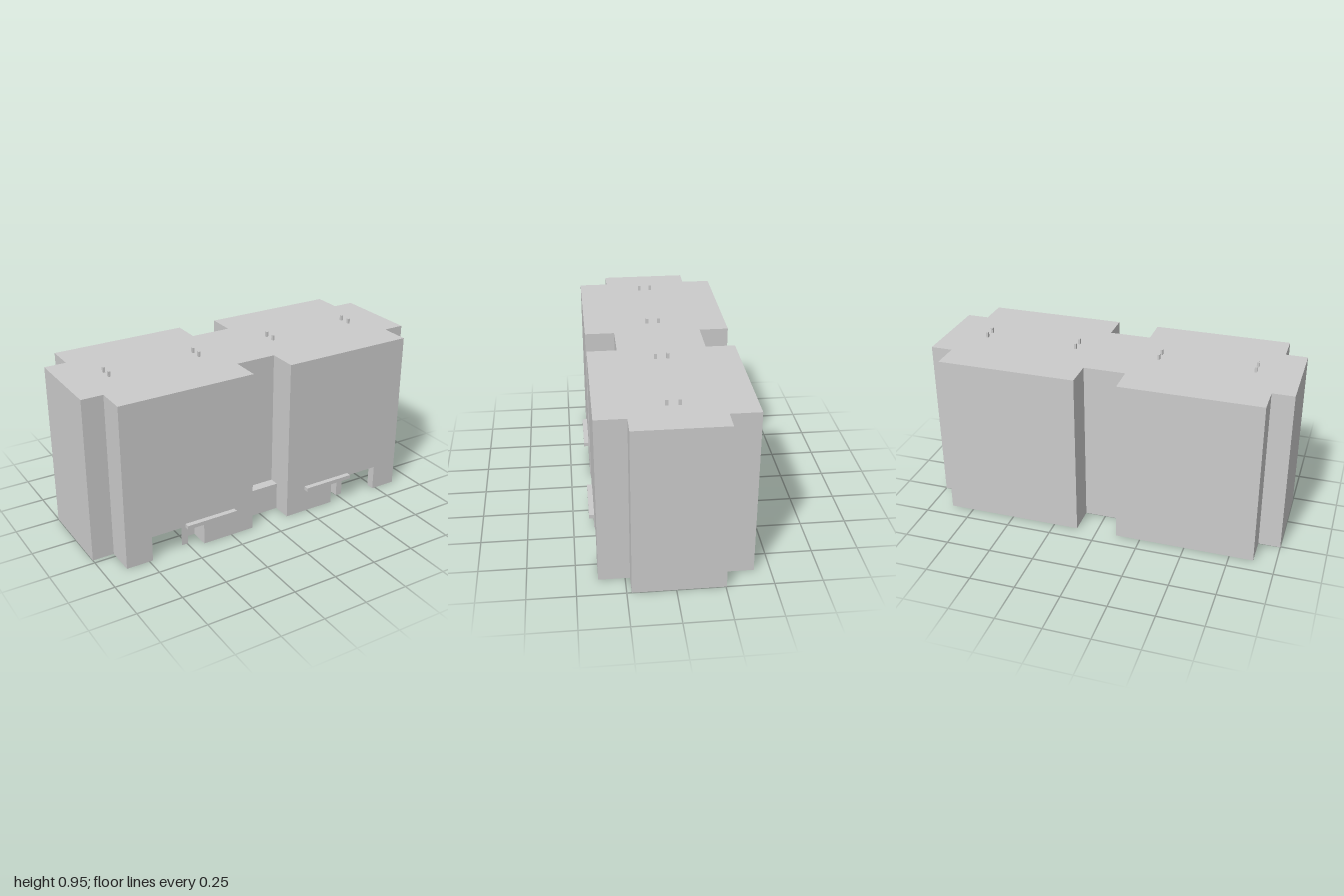
import * as THREE from 'three';

const H = 0.924;      // roof height
const FRONT = 0.387;  // main facade
const DOOR_H = 0.143; // height of the ground floor openings

const material = new THREE.MeshStandardMaterial({ color: 0xcccccc, flatShading: true, side: THREE.DoubleSide });

function add(parent, name, geometry) {
  const mesh = new THREE.Mesh(geometry, material);
  mesh.name = name;
  parent.add(mesh);
  return mesh;
}

// Four-cornered panel, corners counter-clockwise seen from outside
function panel(parent, name, a, b, c, d) {
  const g = new THREE.BufferGeometry();
  g.setAttribute('position', new THREE.Float32BufferAttribute([a, b, c, d].flat(), 3));
  g.setIndex([0, 1, 2, 0, 2, 3]);
  g.computeVertexNormals();
  return add(parent, name, g);
}

// Upright wall from plan point p to q, facing right of the walking direction
function wall(parent, name, [x0, z0], [x1, z1], y0 = 0, y1 = H) {
  return panel(parent, name, [x0, y0, z0], [x1, y0, z1], [x1, y1, z1], [x0, y1, z0]);
}

function ceiling(parent, name, x0, x1, z0, z1, y) {
  return panel(parent, name, [x0, y, z0], [x1, y, z0], [x1, y, z1], [x0, y, z1]);
}

// Plan of one half: front notch, facade, side bay, back, rear notch
const plan = [
  [0.115, 0.225], [0.115, FRONT], [0.88, FRONT], [0.88, 0.225], [1, 0.225],
  [1, -0.255], [0.88, -0.255], [0.88, -0.415], [0.115, -0.415], [0.115, -0.255],
];

function createHalf(s) {
  const half = new THREE.Group();
  half.name = s > 0 ? 'leftHalf' : 'rightHalf';
  const m = ([x, z]) => [x * s, z];
  const sideWall = (name, p, q, y0, y1) =>
    s > 0 ? wall(half, name, m(p), m(q), y0, y1) : wall(half, name, m(q), m(p), y0, y1);

  // Outer walls
  for (let i = 0; i < plan.length - 1; i++) {
    if (i !== 1) sideWall('outerWall', plan[i], plan[i + 1]);
  }

  // Facade with the entrance cut out of its lower edge
  const outline = [[0.115, 0], [0.42, 0], [0.42, DOOR_H], [0.73, DOOR_H], [0.73, 0], [0.88, 0], [0.88, H], [0.115, H]];
  const facade = new THREE.Shape(outline.map(([x, y]) => new THREE.Vector2(x * s, y)));
  add(half, 'facade', new THREE.ShapeGeometry(facade)).position.z = FRONT;

  // Entrance: jambs, post and set-back door
  sideWall('doorJamb', [0.42, FRONT], [0.42, 0.275], 0, DOOR_H);
  sideWall('door', [0.42, 0.275], [0.495, 0.275], 0, DOOR_H);
  sideWall('postSide', [0.495, 0.275], [0.495, 0.34], 0, DOOR_H);
  sideWall('postFront', [0.495, 0.34], [0.533, 0.34], 0, DOOR_H);
  sideWall('passageJamb', [0.73, 0.34], [0.73, FRONT], 0, DOOR_H);
  const [a, b] = s > 0 ? [0.42, 0.533] : [-0.533, -0.42];
  ceiling(half, 'entranceCeiling', a, b, 0.34, FRONT, DOOR_H);
  const [c, d] = s > 0 ? [0.42, 0.495] : [-0.495, -0.42];
  ceiling(half, 'doorCeiling', c, d, 0.275, 0.34, DOOR_H);

  // Canopy over the entrance
  add(half, 'canopy', new THREE.BoxGeometry(0.3, 0.022, 0.028)).position.set(0.382 * s, 0.149, FRONT + 0.014);

  // Pairs of roof vents
  for (const x of [0.237, 0.762]) {
    for (const z of [0.029, -0.036]) {
      add(half, 'roofVent', new THREE.BoxGeometry(0.012, 0.03, 0.016)).position.set(x * s, H + 0.014, z);
    }
  }
  return half;
}

export function createModel() {
  const model = new THREE.Group();
  model.name = 'apartmentBlock';
  model.add(createHalf(1), createHalf(-1));

  // Roof
  const loop = [...plan, ...plan.map(([x, z]) => [-x, z]).reverse()];
  const roof = new THREE.ShapeGeometry(new THREE.Shape(loop.map(([x, z]) => new THREE.Vector2(x, -z))));
  roof.rotateX(-Math.PI / 2);
  add(model, 'roof', roof).position.y = H;

  // Middle walls and the low projecting porch in the front notch
  wall(model, 'rearNotchWall', [0.115, -0.255], [-0.115, -0.255]);
  wall(model, 'frontNotchWall', [-0.115, 0.225], [0.115, 0.225], 0.16);
  wall(model, 'porchWall', [-0.115, 0.28], [0.115, 0.28], 0, 0.16);
  panel(model, 'porchRoof', [-0.115, 0.16, 0.28], [0.115, 0.16, 0.28], [0.115, 0.16, 0.225], [-0.115, 0.16, 0.225]);
  return model;
}
